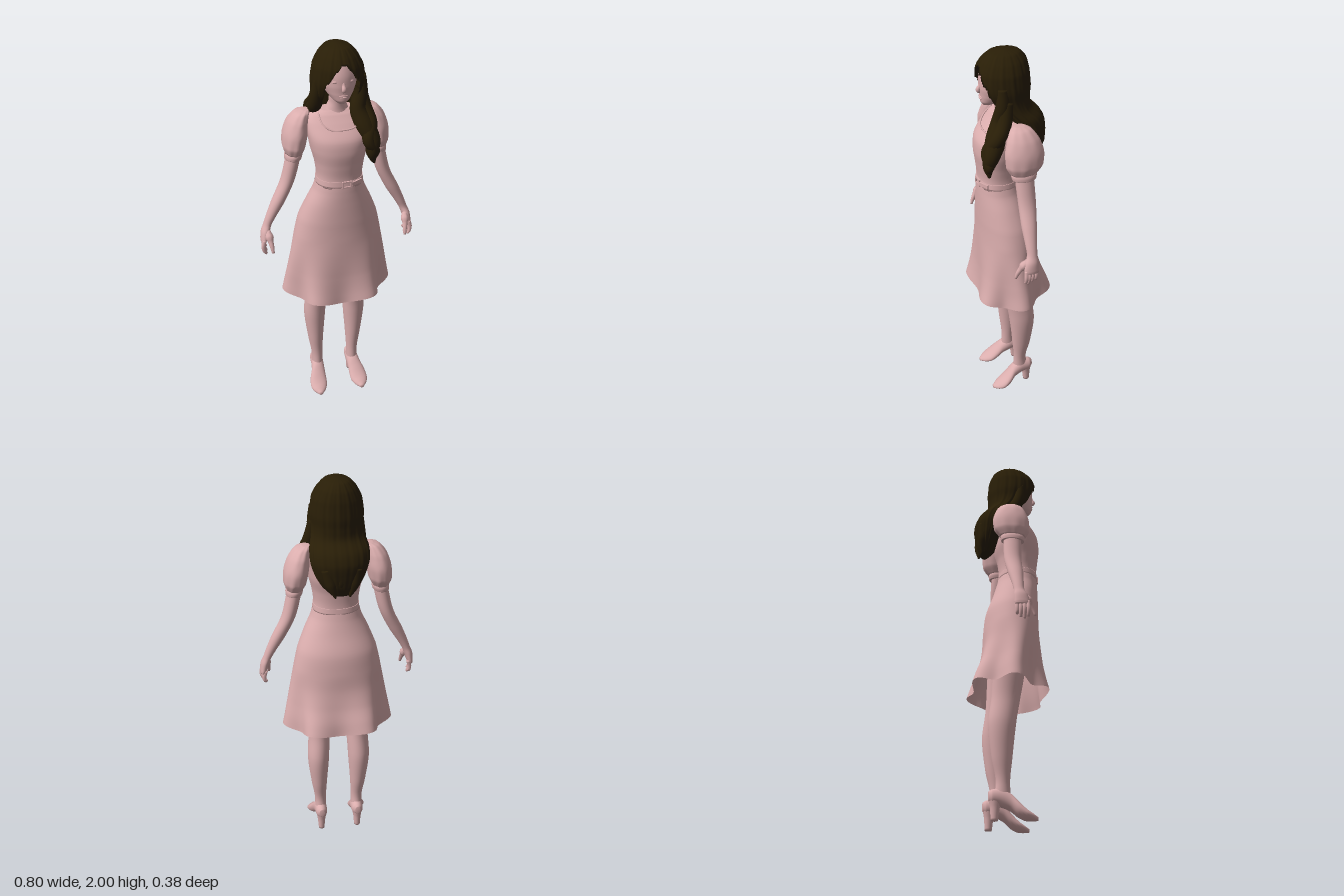
import * as THREE from 'three';

const dressPink = new THREE.MeshStandardMaterial({ color: 0xdaadad, side: THREE.DoubleSide });
dressPink.name = 'dusty pink';
const hairBrown = new THREE.MeshStandardMaterial({ color: 0x291e07, side: THREE.DoubleSide });
hairBrown.name = 'dark brown';

const V = (x, y, z) => new THREE.Vector3(x, y, z);

// Skin a list of closed rings into one smooth surface
function skin(rings, capStart, capEnd) {
  const n = rings[0].length, pos = [], idx = [];
  rings.forEach(r => r.forEach(p => pos.push(p.x, p.y, p.z)));
  for (let i = 0; i < rings.length - 1; i++) {
    for (let j = 0; j < n; j++) {
      const a = i * n + j, b = i * n + (j + 1) % n;
      idx.push(a, a + n, b, b, a + n, b + n);
    }
  }
  const cap = (ring, base, flip) => {
    const c = ring.reduce((s, p) => s.add(p), V(0, 0, 0)).divideScalar(n), k = pos.length / 3;
    pos.push(c.x, c.y, c.z);
    for (let j = 0; j < n; j++) {
      const a = base + j, b = base + (j + 1) % n;
      if (flip) idx.push(k, b, a); else idx.push(k, a, b);
    }
  };
  if (capStart) cap(rings[0], 0, false);
  if (capEnd) cap(rings[rings.length - 1], (rings.length - 1) * n, true);
  const g = new THREE.BufferGeometry();
  g.setAttribute('position', new THREE.Float32BufferAttribute(pos, 3));
  g.setIndex(idx);
  g.computeVertexNormals();
  return g;
}

// Loft through sections [x, y, z, halfWidth, halfDepth]; axis y runs downward, axis z runs forward
function loft(sections, { axis = 'y', segs = 32, steps = 6, p = 1, warp, capStart = true, capEnd = true } = {}) {
  const centre = new THREE.CatmullRomCurve3(sections.map(s => V(s[0], s[1], s[2])));
  const size = new THREE.CatmullRomCurve3(sections.map(s => V(s[3], s[4], 0)));
  const count = (sections.length - 1) * steps, rings = [];
  const soft = v => Math.sign(v) * Math.abs(v) ** p;
  for (let i = 0; i <= count; i++) {
    const c = centre.getPoint(i / count), r = size.getPoint(i / count), ring = [];
    for (let j = 0; j < segs; j++) {
      const t = j / segs * Math.PI * 2, a = soft(Math.sin(t)) * r.x, b = soft(Math.cos(t)) * r.y;
      const v = axis === 'y' ? V(c.x + a, c.y, c.z + b) : V(c.x + a, c.y + b, c.z);
      if (warp) warp(v, t, c);
      ring.push(v);
    }
    rings.push(ring);
  }
  return skin(rings, capStart, capEnd);
}

// Tapered tube through points [x, y, z, radius]
function strand(points, segs = 10, steps = 6) {
  const path = new THREE.CatmullRomCurve3(points.map(q => V(q[0], q[1], q[2])));
  const size = new THREE.CatmullRomCurve3(points.map(q => V(q[3], 0, 0)));
  const count = (points.length - 1) * steps, f = path.computeFrenetFrames(count), rings = [];
  for (let i = 0; i <= count; i++) {
    const c = path.getPointAt(i / count), r = size.getPoint(path.getUtoTmapping(i / count)).x, ring = [];
    for (let j = 0; j < segs; j++) {
      const t = j / segs * Math.PI * 2;
      ring.push(c.clone().addScaledVector(f.normals[i], Math.cos(t) * r).addScaledVector(f.binormals[i], -Math.sin(t) * r));
    }
    rings.push(ring);
  }
  return skin(rings, true, true);
}

export function createModel() {
  const model = new THREE.Group();
  const add = (name, geo, mat = dressPink) => {
    const m = new THREE.Mesh(geo, mat);
    m.name = name;
    model.add(m);
    return m;
  };
  const ball = (name, x, y, z, sx, sy, sz) => {
    const m = add(name, new THREE.SphereGeometry(1, 16, 12));
    m.position.set(x, y, z);
    m.scale.set(sx, sy, sz);
  };

  // Head, neck and face
  add('head', loft([
    [0, 1.965, 0.02, 0.045, 0.06], [0, 1.92, 0.03, 0.078, 0.095], [0, 1.87, 0.04, 0.087, 0.098],
    [0, 1.82, 0.05, 0.081, 0.09], [0, 1.78, 0.06, 0.065, 0.077], [0, 1.75, 0.08, 0.042, 0.054],
    [0, 1.733, 0.098, 0.02, 0.025]]));
  add('neck', loft([[0, 1.79, 0.03, 0.041, 0.045], [0, 1.72, 0.022, 0.04, 0.044], [0, 1.675, 0.012, 0.055, 0.05],
    [0, 1.63, 0.01, 0.08, 0.06]]));
  add('nose', strand([[0, 1.86, 0.129, 0.006], [0, 1.83, 0.136, 0.009], [0, 1.81, 0.145, 0.011], [0, 1.8, 0.134, 0.009]]));
  ball('upperLip', 0, 1.777, 0.133, 0.022, 0.005, 0.007);
  ball('lowerLip', 0, 1.768, 0.133, 0.017, 0.006, 0.007);
  for (const s of [-1, 1]) {
    ball('eye', s * 0.034, 1.845, 0.122, 0.018, 0.009, 0.011);
    ball('earring', s * 0.083, 1.795, 0.062, 0.007, 0.011, 0.007);
  }

  // Bodice with scooped neckline, belt and buckle
  add('bodice', loft([
    [0, 1.675, 0.008, 0.085, 0.045], [0, 1.658, 0.01, 0.135, 0.062], [0, 1.62, 0.02, 0.155, 0.085],
    [0, 1.55, 0.045, 0.15, 0.113], [0, 1.49, 0.05, 0.14, 0.117], [0, 1.42, 0.055, 0.122, 0.105],
    [0, 1.35, 0.055, 0.114, 0.098], [0, 1.3, 0.055, 0.118, 0.1]], { segs: 48, p: 0.9 }));
  add('neckline', strand([[-0.1, 1.668, 0.045, 0.004], [-0.092, 1.63, 0.088, 0.004], [-0.06, 1.605, 0.117, 0.004],
    [0, 1.6, 0.127, 0.004], [0.06, 1.605, 0.117, 0.004], [0.092, 1.63, 0.088, 0.004], [0.1, 1.668, 0.045, 0.004]], 8));
  add('belt', loft([[0, 1.338, 0.055, 0.1165, 0.1], [0, 1.308, 0.055, 0.119, 0.1025]], { segs: 48, p: 0.9 }));
  const frame = new THREE.Shape([[-0.026, -0.018], [0.026, -0.018], [0.026, 0.018], [-0.026, 0.018]].map(q => new THREE.Vector2(...q)));
  frame.holes.push(new THREE.Path([[-0.018, -0.01], [-0.018, 0.01], [0.018, 0.01], [0.018, -0.01]].map(q => new THREE.Vector2(...q))));
  const buckle = add('buckle', new THREE.ExtrudeGeometry(frame, { depth: 0.008, bevelEnabled: false }));
  buckle.position.set(0.013, 1.323, 0.155);
  buckle.rotation.y = 0.08;
  const tail = add('beltTail', new THREE.BoxGeometry(0.06, 0.02, 0.008));
  tail.position.set(0.066, 1.325, 0.146);
  tail.rotation.set(0, 0.42, 0.06);

  // Flared skirt, open below, with six deep folds at the hem
  add('skirt', loft([
    [0, 1.32, 0.055, 0.116, 0.1], [0, 1.27, 0.05, 0.13, 0.107], [0, 1.2, 0.04, 0.163, 0.118],
    [0, 1.1, 0.023, 0.203, 0.135], [0, 1.0, 0.018, 0.225, 0.14], [0, 0.9, 0.017, 0.239, 0.145],
    [0, 0.8, 0.01, 0.25, 0.158], [0, 0.72, 0.002, 0.258, 0.176], [0, 0.655, 0, 0.264, 0.19]],
  { segs: 120, p: 0.95, capStart: false, capEnd: false, warp: (v, t, c) => {
    const k = Math.min(1, Math.max(0, (1.0 - c.y) / 0.34)) ** 1.3, wave = -Math.cos(6 * t);
    v.x *= 1 + 0.1 * k * wave;
    v.z = c.z + (v.z - c.z) * (1 + 0.11 * k * wave);
    v.y += k * (0.008 * wave - 0.015 * Math.cos(t) + 0.004);
  } }));

  for (const s of [-1, 1]) {
    // Puffed sleeve gathered into a cuff
    add('puffSleeve', loft([
      [s * 0.152, 1.674, -0.005, 0.018, 0.025], [s * 0.168, 1.662, -0.005, 0.036, 0.052], [s * 0.188, 1.62, -0.01, 0.052, 0.078],
      [s * 0.203, 1.55, -0.012, 0.061, 0.095], [s * 0.21, 1.495, -0.01, 0.057, 0.09], [s * 0.213, 1.455, -0.006, 0.042, 0.066]],
    { segs: 48, warp: (v, t, c) => {
      const k = 1 + 0.03 * Math.cos(9 * t) * Math.min(1, Math.abs(c.y - 1.57) / 0.1);
      v.x = c.x + (v.x - c.x) * k;
      v.z = c.z + (v.z - c.z) * k;
    } }));
    add('cuff', loft([[s * 0.212, 1.458, -0.006, 0.04, 0.061], [s * 0.214, 1.443, -0.006, 0.043, 0.063],
      [s * 0.217, 1.425, -0.006, 0.041, 0.059]]));

    // Arm and palm
    add('arm', loft([
      [s * 0.208, 1.48, -0.006, 0.035, 0.045], [s * 0.222, 1.4, -0.008, 0.036, 0.046], [s * 0.248, 1.3, -0.01, 0.035, 0.044],
      [s * 0.295, 1.2, -0.004, 0.035, 0.038], [s * 0.336, 1.12, 0, 0.027, 0.029], [s * 0.357, 1.075, 0.002, 0.022, 0.026],
      [s * 0.371, 1.04, 0.008, 0.022, 0.034], [s * 0.38, 1.0, 0.012, 0.018, 0.038], [s * 0.384, 0.985, 0.012, 0.013, 0.035]],
    { segs: 24 }));
    // Four fingers and a forward thumb
    for (let i = 0; i < 4; i++) {
      const z = 0.04 - i * 0.018, x = 0.386 - i * 0.004, drop = [0.925, 0.915, 0.922, 0.945][i];
      add('finger', strand([[s * (x - 0.004), 1.0, z, 0.011], [s * (x + 0.004), 0.965, z + 0.002, 0.0105],
        [s * x, 0.94, z + 0.003, 0.009], [s * (x - 0.01), drop, z + 0.004, 0.006]], 8, 4));
    }
    add('thumb', strand([[s * 0.362, 1.045, 0.025, 0.014], [s * 0.356, 1.005, 0.056, 0.014],
      [s * 0.351, 0.975, 0.073, 0.011], [s * 0.348, 0.945, 0.083, 0.007]], 8, 4));

    // Leg
    add('leg', loft([
      [s * 0.1, 1.0, 0.01, 0.085, 0.09], [s * 0.105, 0.75, -0.008, 0.066, 0.08], [s * 0.102, 0.6, -0.024, 0.057, 0.071],
      [s * 0.109, 0.47, -0.042, 0.057, 0.068], [s * 0.106, 0.3, -0.042, 0.042, 0.05], [s * 0.1, 0.18, -0.036, 0.03, 0.034],
      [s * 0.1, 0.1, -0.04, 0.03, 0.042]]));
    // Pointed court shoe with block heel
    add('shoe', loft([
      [s * 0.1, 0.115, -0.105, 0.014, 0.022], [s * 0.1, 0.112, -0.088, 0.029, 0.036], [s * 0.1, 0.108, -0.04, 0.034, 0.045],
      [s * 0.104, 0.088, 0, 0.036, 0.042], [s * 0.112, 0.055, 0.035, 0.044, 0.037], [s * 0.116, 0.03, 0.07, 0.046, 0.027],
      [s * 0.118, 0.019, 0.1, 0.034, 0.018], [s * 0.118, 0.012, 0.127, 0.01, 0.009]], { axis: 'z', segs: 24 }));
    add('heel', loft([[s * 0.1, 0.1, -0.072, 0.028, 0.032], [s * 0.1, 0.06, -0.074, 0.021, 0.023],
      [s * 0.1, 0, -0.076, 0.016, 0.017]], { segs: 16 }));
  }

  // Main hair mass, parted at the centre and cut back around the face
  const opening = y => 0.08 * Math.min(1, Math.max(0, (1.925 - y) / 0.1)) ** 0.7;
  add('hair', loft([
    [0, 1.999, 0.015, 0.015, 0.02], [0, 1.985, 0.018, 0.06, 0.075], [0, 1.95, 0.022, 0.094, 0.108], [0, 1.9, 0.027, 0.119, 0.127],
    [0, 1.83, 0.024, 0.129, 0.13], [0, 1.77, 0.012, 0.125, 0.115], [0, 1.72, -0.015, 0.13, 0.095],
    [0, 1.67, -0.06, 0.143, 0.098], [0, 1.62, -0.085, 0.142, 0.092], [0, 1.55, -0.1, 0.12, 0.07],
    [0, 1.5, -0.11, 0.09, 0.05], [0, 1.455, -0.12, 0.045, 0.022]],
  { segs: 120, warp: (v, t, c) => {
    const k = 1 + 0.012 * Math.sin(17 * t + 6 * c.y) + 0.008 * Math.sin(31 * t);
    v.x *= k;
    v.z = c.z + (v.z - c.z) * k;
    if (v.z > c.z && Math.abs(v.x) < opening(c.y)) v.z = Math.min(v.z, c.y < 1.75 ? -0.03 : 0.0);
  } }), hairBrown);

  // Wavy locks: long ones over the left shoulder, short one behind the right, loose ends at the back
  const locks = [
    [[0.1, 1.85, 0.06, 0.028], [0.105, 1.76, 0.06, 0.034], [0.09, 1.68, 0.07, 0.04], [0.115, 1.6, 0.098, 0.05],
      [0.145, 1.53, 0.13, 0.04], [0.141, 1.47, 0.145, 0.028], [0.152, 1.42, 0.145, 0.006]],
    [[0.105, 1.78, 0.04, 0.03], [0.125, 1.68, 0.06, 0.035], [0.14, 1.61, 0.1, 0.037], [0.122, 1.54, 0.145, 0.03],
      [0.156, 1.48, 0.145, 0.024], [0.137, 1.43, 0.15, 0.005]],
    [[-0.1, 1.84, 0.055, 0.025], [-0.108, 1.76, 0.045, 0.03], [-0.108, 1.71, 0.025, 0.034], [-0.115, 1.665, -0.01, 0.025]],
    [[-0.07, 1.6, -0.13, 0.035], [-0.06, 1.52, -0.135, 0.03], [-0.04, 1.45, -0.14, 0.004]],
    [[0.07, 1.6, -0.13, 0.035], [0.05, 1.52, -0.14, 0.03], [0.03, 1.45, -0.15, 0.004]],
    [[0, 1.62, -0.142, 0.035], [0.005, 1.53, -0.138, 0.03], [0, 1.455, -0.135, 0.005]],
  ];
  locks.forEach(l => add('hairLock', strand(l, 14, 8), hairBrown));
  return model;
}
